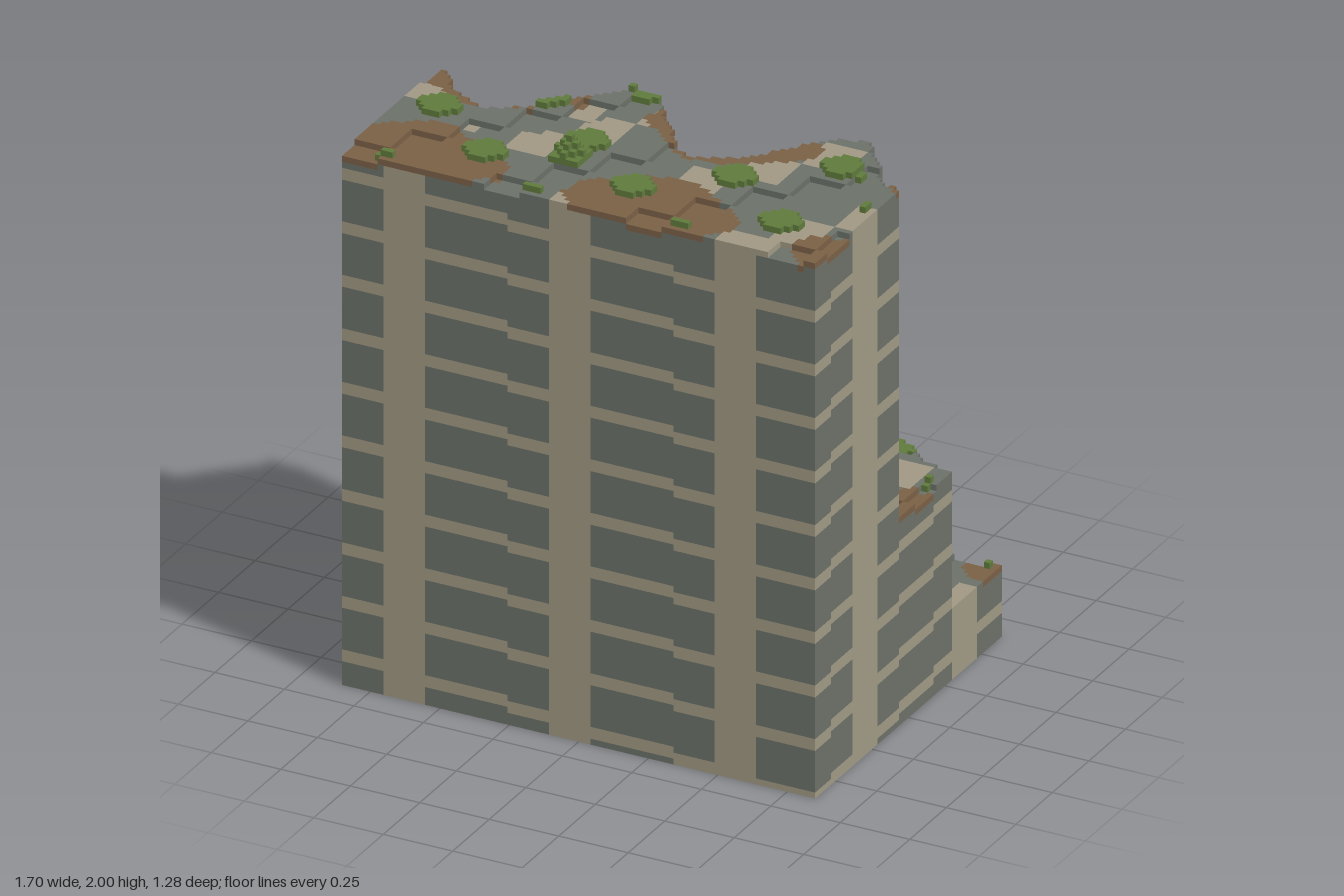
import * as THREE from 'three';

// Terraced block cliff, laid out on a grid of small cubes
const NX = 80, NY = 94, NZ = 60, S = 2 / NY;
const ROCK = 0, BAND = 1, SOIL = 2, LEAF = 3;
const mod = (a, n) => ((a % n) + n) % n;
const cell = (v, n) => Math.floor(v / n);

// Winding edges of the two cliff walls: [x, z] points in cubes
const UPPER_EDGE = [[0, 28], [6, 35], [12, 38], [18, 34], [24, 27], [29, 22], [33, 22], [38, 29], [43, 35],
  [49, 37], [55, 33], [60, 26], [64, 22], [68, 21], [72, 26], [76, 31], [79, 33]];
const MIDDLE_EDGE = [[0, 14], [4, 16], [10, 17], [16, 15], [22, 13], [28, 10], [32, 9], [36, 12], [42, 15],
  [48, 15], [54, 13], [60, 10], [66, 9], [70, 11], [74, 15], [79, 16]];

function edgeAt(points, x) {
  let i = 0;
  while (i < points.length - 2 && points[i + 1][0] < x) i++;
  const [x0, z0] = points[i], [x1, z1] = points[i + 1];
  return Math.round(z0 + (z1 - z0) * (x - x0) / (x1 - x0));
}

// Ground height: three terraces with shallow sunken slabs
function groundHeight(x, z) {
  const base = z >= edgeAt(UPPER_EDGE, x) ? 90 : z >= edgeAt(MIDDLE_EDGE, x) ? 35 : 12;
  return base - ((cell(x, 6) + cell(z, 7)) % 4 === 0 ? 1 : 0);
}

// Plant height above the ground: flat round bushes and three stepped shrubs
const SHRUBS = [[8, 8], [54, 27], [31, 46]];
function plantHeight(x, z) {
  if (x < 1 || z < 1 || x > NX - 2 || z > NZ - 2) return 0;
  for (const [cx, cz] of SHRUBS) {
    const dx = Math.abs(x - cx), dz = Math.abs(z - cz), d = dx + dz;
    if (Math.max(dx, dz) <= 2) return d === 0 ? 4 : d === 1 ? 3 : d === 2 ? 2 : 1;
  }
  const row = Math.round((z - 0.5) / 10);
  const dz = z - 0.5 - row * 10;
  const dx = mod(x - (row % 2 ? 19 : 6) + 12, 25) - 12;
  return dx * dx + dz * dz <= 10 ? 1 : 0;
}

function rockColour(x, y, z) {
  const pillar = (cell(x, 7) + cell(z, 8)) % 4 === 0;
  const stratum = (y + cell(x, 14) + cell(z, 11)) % 9 < 2;
  return pillar || stratum ? BAND : ROCK;
}

function createModel() {
  const ground = [], plants = [];
  for (let x = 0; x < NX; x++) {
    for (let z = 0; z < NZ; z++) {
      ground.push(groundHeight(x, z));
      plants.push(plantHeight(x, z));
    }
  }
  const size = [NX, NY, NZ];
  const cube = (x, y, z) => {
    if (x < 0 || y < 0 || z < 0 || x >= NX || y >= NY || z >= NZ) return -1;
    const h = ground[x * NZ + z];
    if (y >= h) return y < h + plants[x * NZ + z] ? LEAF : -1;
    if (y === h - 1 && Math.sin(x * 0.16) + Math.cos(z * 0.23) > 0.28) return SOIL;
    return rockColour(x, y, z);
  };

  const parts = [0, 1, 2, 3].map(() => ({ position: [], normal: [] }));

  // One rectangle on the grid, facing along the given axis
  function addFace(part, axis, sign, plane, u0, u1, v0, v1) {
    const u = (axis + 1) % 3, v = (axis + 2) % 3;
    const corners = [[u0, v0], [u1, v0], [u1, v1], [u0, v1]];
    const order = sign > 0 ? [0, 1, 2, 0, 2, 3] : [0, 2, 1, 0, 3, 2];
    for (const i of order) {
      const p = [0, 0, 0], n = [0, 0, 0];
      p[axis] = plane;
      p[u] = corners[i][0];
      p[v] = corners[i][1];
      n[axis] = sign;
      part.position.push((p[0] - NX / 2) * S, p[1] * S, (p[2] - NZ / 2) * S);
      part.normal.push(...n);
    }
  }

  // Collect exposed faces, merging equal neighbours into larger rectangles
  for (let axis = 0; axis < 3; axis++) {
    const u = (axis + 1) % 3, v = (axis + 2) % 3, nu = size[u], nv = size[v];
    for (const sign of [-1, 1]) {
      for (let layer = 0; layer < size[axis]; layer++) {
        const mask = new Int8Array(nu * nv).fill(-1);
        for (let a = 0; a < nu; a++) {
          for (let b = 0; b < nv; b++) {
            const p = [0, 0, 0];
            p[axis] = layer; p[u] = a; p[v] = b;
            const colour = cube(...p);
            p[axis] += sign;
            if (colour >= 0 && cube(...p) < 0) mask[a * nv + b] = colour;
          }
        }
        for (let a = 0; a < nu; a++) {
          for (let b = 0; b < nv; b++) {
            const c = mask[a * nv + b];
            if (c < 0) continue;
            let b1 = b + 1, a1 = a + 1;
            while (b1 < nv && mask[a * nv + b1] === c) b1++;
            const rowMatches = (r) => {
              for (let k = b; k < b1; k++) if (mask[r * nv + k] !== c) return false;
              return true;
            };
            while (a1 < nu && rowMatches(a1)) a1++;
            for (let r = a; r < a1; r++) mask.fill(-1, r * nv + b, r * nv + b1);
            addFace(parts[c], axis, sign, layer + (sign > 0 ? 1 : 0), a, a1, b, b1);
          }
        }
      }
    }
  }

  // One mesh for each kind of material
  const kinds = [
    ['cliffRock', 'greyStone', 0x6b7068],
    ['rockBands', 'paleStone', 0xa09883],
    ['soilPatches', 'brownSoil', 0x7a6046],
    ['bushes', 'greenLeaves', 0x5f7a3c],
  ];
  const model = new THREE.Group();
  model.name = 'terracedCliff';
  kinds.forEach(([name, materialName, color], i) => {
    const geometry = new THREE.BufferGeometry();
    geometry.setAttribute('position', new THREE.Float32BufferAttribute(parts[i].position, 3));
    geometry.setAttribute('normal', new THREE.Float32BufferAttribute(parts[i].normal, 3));
    const material = new THREE.MeshStandardMaterial({ color });
    material.name = materialName;
    const mesh = new THREE.Mesh(geometry, material);
    mesh.name = name;
    model.add(mesh);
  });
  return model;
}

export { createModel };
